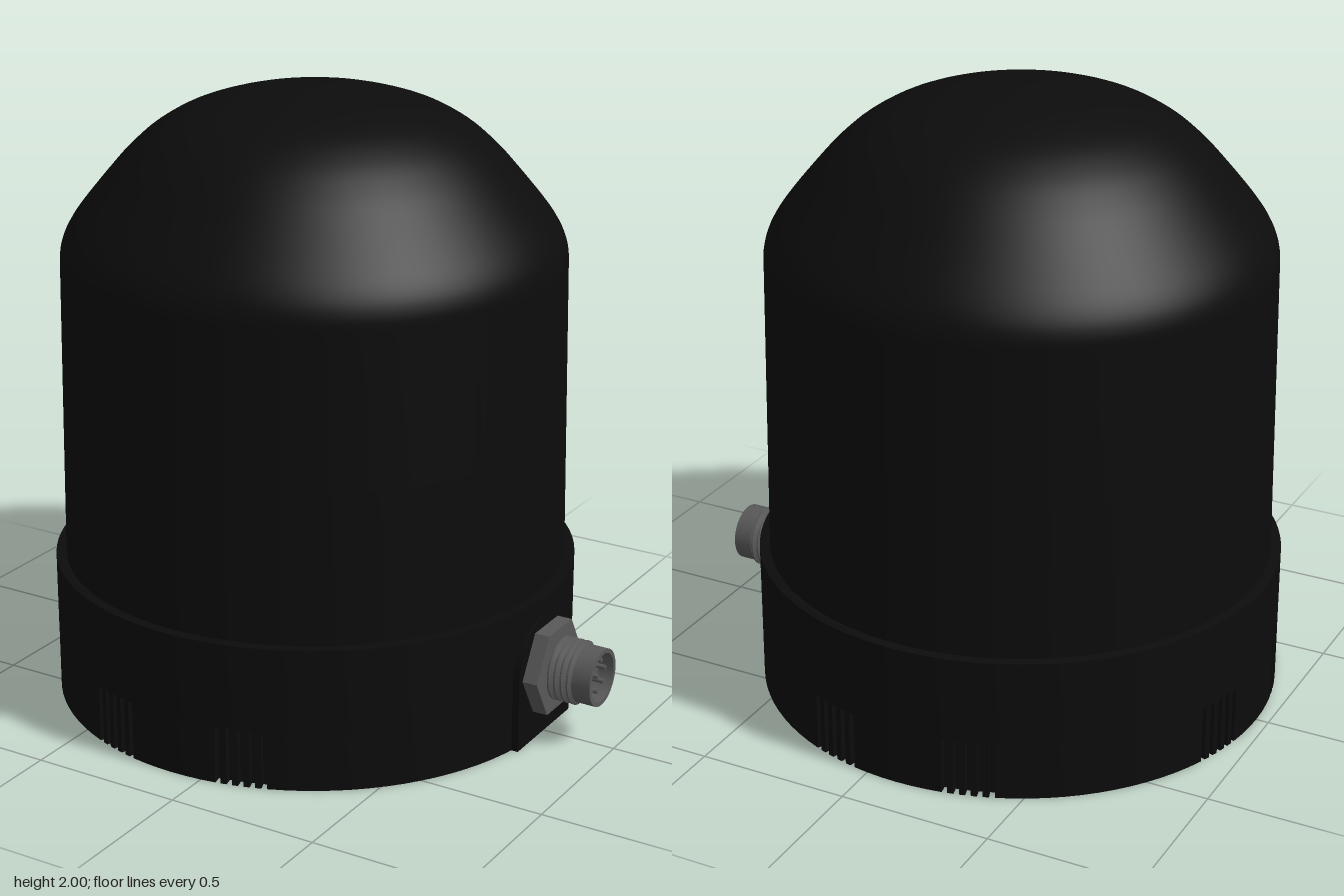
import * as THREE from 'three';
import { toCreasedNormals } from 'three/addons/utils/BufferGeometryUtils.js';

const CX = -0.105; // axis of the housing
const R = 0.853;   // base radius
const rad = THREE.MathUtils.degToRad;

export function createModel() {
  const model = new THREE.Group();
  const black = new THREE.MeshStandardMaterial({ color: 0x0c0c0c });
  black.name = 'black plastic';
  const metal = new THREE.MeshStandardMaterial({ color: 0x585858 });
  metal.name = 'grey metal';

  function add(parent, name, geometry, material, x = 0, y = 0, z = 0) {
    const mesh = new THREE.Mesh(geometry, material);
    mesh.name = name;
    mesh.position.set(x, y, z);
    parent.add(mesh);
    return mesh;
  }

  // Extrude a plan outline upwards
  function extrudeUp(shape, depth) {
    const g = new THREE.ExtrudeGeometry(shape, { depth, bevelEnabled: false, curveSegments: 48 });
    g.rotateX(-Math.PI / 2);
    return toCreasedNormals(g, 0.5);
  }

  const housing = new THREE.Group();
  housing.name = 'housing';
  housing.position.x = CX;
  model.add(housing);

  // Domed cover: slightly tapered wall, rounded shoulder and shallow cap
  const shoulder = new THREE.SplineCurve([
    [0.806, 1.45], [0.803, 1.495], [0.785, 1.548], [0.743, 1.614], [0.653, 1.725],
    [0.58, 1.806], [0.494, 1.878], [0.378, 1.938], [0.2, 1.985], [0, 2],
  ].map(([x, y]) => new THREE.Vector2(x, y))).getPoints(40);
  shoulder[40].x = 0;
  const wall = [new THREE.Vector2(0.82, 0.46), new THREE.Vector2(0.813, 0.96)];
  add(housing, 'domedCover', new THREE.LatheGeometry([...wall, ...shoulder], 96), black);

  // Upper base ring
  const upper = new THREE.Shape();
  upper.absarc(0, 0, R, 0, Math.PI * 2);
  add(housing, 'baseUpper', extrudeUp(upper, 0.28), black, 0, 0.19, 0);

  // Lower base with groups of narrow grip slots in its rim
  const slots = [];
  for (const side of [90, 180, 270])
    for (const offset of [-16, 16])
      for (let i = -2; i <= 2; i++) slots.push(side + offset + i * 2.5);
  slots.sort((a, b) => a - b);
  const outline = [];
  const polar = (r, deg) => new THREE.Vector2(r * Math.cos(rad(deg)), r * Math.sin(rad(deg)));
  let last = 0;
  const arcTo = (end) => {
    const n = Math.max(1, Math.ceil((end - last) / 3.75));
    for (let i = 0; i < n; i++) outline.push(polar(R, last + ((end - last) * i) / n));
    last = end;
  };
  for (const s of slots) {
    arcTo(s - 0.6);
    outline.push(polar(R, s - 0.6), polar(R - 0.03, s - 0.6), polar(R - 0.03, s + 0.6));
    last = s + 0.6;
  }
  arcTo(360);
  const lower = new THREE.Shape(outline);

  // Centre socket, screw holes and label slot on the underside
  const hole = (r, deg, size) => {
    const p = polar(r, deg);
    const path = new THREE.Path();
    path.absarc(p.x, p.y, size, 0, Math.PI * 2, true);
    lower.holes.push(path);
  };
  hole(0, 0, 0.09);
  for (const [r, deg] of [[0.68, -28], [0.72, 152], [0.7, -66]]) hole(r, deg, 0.025);
  const slotCorners = [[0.72, -12], [0.72, 12], [0.76, 12], [0.76, -12]];
  lower.holes.push(new THREE.Path(slotCorners.map(([r, d]) => polar(r, 47 + d))));
  add(housing, 'baseLower', extrudeUp(lower, 0.19), black);

  // Flat arched pad behind the connector
  const arch = new THREE.Shape();
  arch.moveTo(-0.178, 0);
  arch.lineTo(0.178, 0);
  arch.lineTo(0.178, 0.235);
  arch.absarc(0, 0.235, 0.178, 0, Math.PI);
  arch.closePath();
  const padGeo = new THREE.ExtrudeGeometry(arch, { depth: 0.1, bevelEnabled: false, curveSegments: 24 });
  padGeo.rotateY(Math.PI / 2);
  add(model, 'connectorPad', toCreasedNormals(padGeo, 0.5), black, 0.652, 0, 0);

  // Connector, built along its own y axis and turned to point to +x
  const connector = new THREE.Group();
  connector.name = 'connector';
  connector.position.set(0.75, 0.235, 0);
  connector.rotation.z = -Math.PI / 2;
  model.add(connector);

  const nut = new THREE.CylinderGeometry(0.157, 0.157, 0.052, 6).toNonIndexed();
  nut.computeVertexNormals();
  add(connector, 'hexNut', nut, metal, 0, 0.026, 0);

  // Threaded neck, plain collar and hollow face as one turned part
  const profile = [[0.088, 0.045]];
  for (let i = 0; i < 4; i++) {
    const y = 0.052 + i * 0.022;
    profile.push([0.088, y], [0.104, y + 0.008], [0.104, y + 0.013]);
  }
  profile.push([0.088, 0.14], [0.094, 0.14], [0.094, 0.203], [0.08, 0.203], [0.08, 0.15], [0, 0.15]);
  const turned = new THREE.LatheGeometry(profile.map(([x, y]) => new THREE.Vector2(x, y)), 40);
  add(connector, 'threadedSocket', toCreasedNormals(turned, 0.45), metal);

  // Contact pins: one in the centre and seven around it
  const pinGeo = new THREE.CylinderGeometry(0.008, 0.008, 0.04, 10);
  for (let i = 0; i < 8; i++) {
    const a = (i / 7) * Math.PI * 2;
    const r = i === 7 ? 0 : 0.052;
    add(connector, 'contactPin', pinGeo, metal, r * Math.cos(a), 0.168, r * Math.sin(a));
  }
  add(connector, 'alignmentKey', new THREE.BoxGeometry(0.014, 0.045, 0.02), metal, -0.074, 0.172, 0);

  return model;
}
